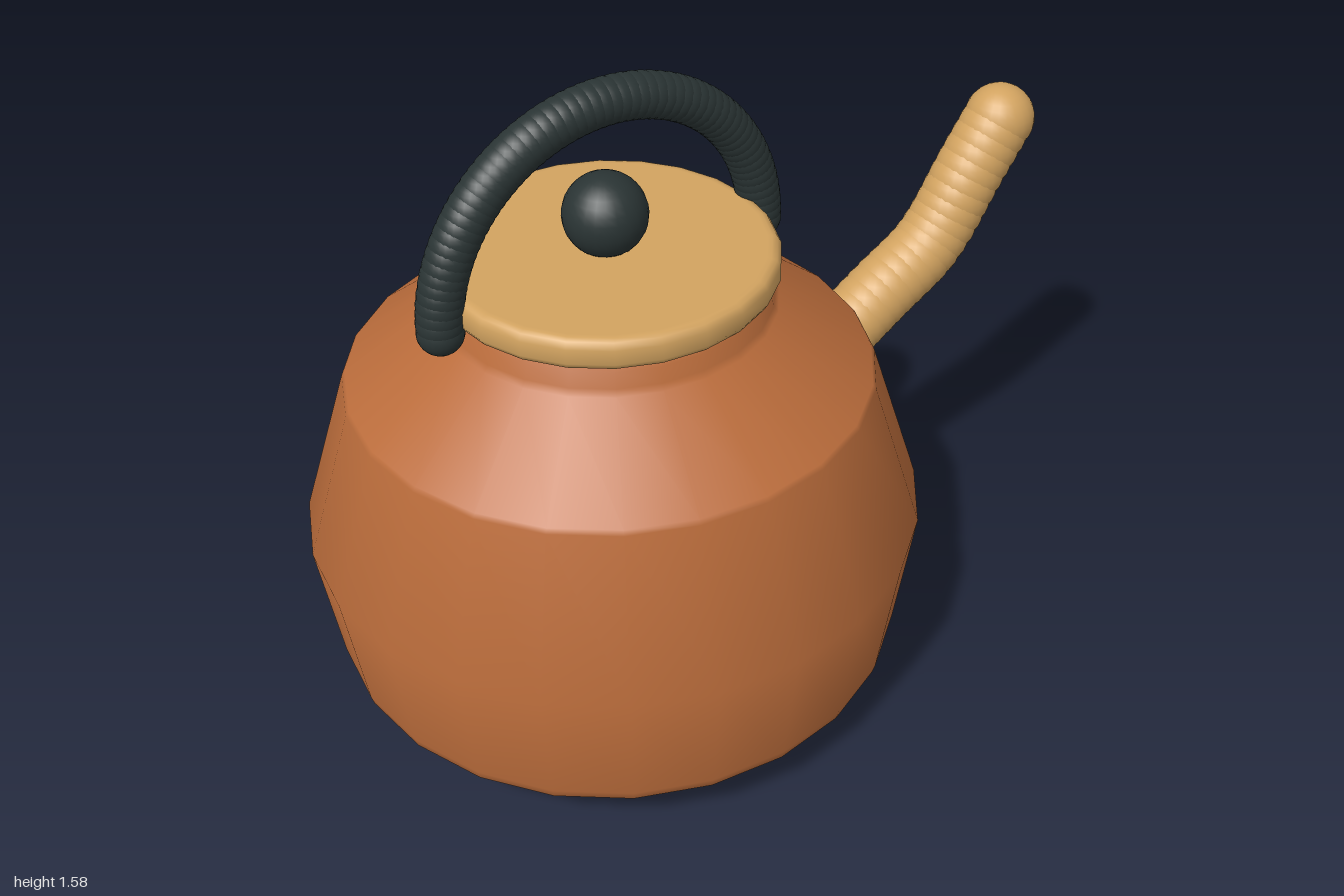
import * as THREE from 'three';

export function createModel() {
  const group = new THREE.Group();
  group.name = 'kettle';
  const material = (name, color) => {
    const m = new THREE.MeshStandardMaterial({ color });
    m.name = name;
    return m;
  };
  const copper = material('copper', 0xba6c3b);
  const wood = material('lightWood', 0xd2a360);
  const dark = material('darkGrip', 0x2a3434);
  const cx = -0.265; // axis of the pot

  const add = (name, geometry, mat, x = 0, y = 0) => {
    const mesh = new THREE.Mesh(geometry, mat);
    mesh.name = name;
    mesh.position.set(x, y, 0);
    group.add(mesh);
    return mesh;
  };
  const lathe = (profile) =>
    new THREE.LatheGeometry(profile.map(([r, y]) => new THREE.Vector2(r, y)), 24);

  // Chain of closely overlapping balls along a curve
  const beads = (name, curve, count, radius, mat) => {
    const chain = new THREE.Group();
    chain.name = name;
    const ball = new THREE.SphereGeometry(radius, 24, 16);
    for (const p of curve.getSpacedPoints(count - 1)) {
      const mesh = new THREE.Mesh(ball, mat);
      mesh.name = name + 'Segment';
      mesh.position.set(p.x, p.y, 0);
      chain.add(mesh);
    }
    group.add(chain);
  };

  // Pot body with softened corners at the base and a short neck
  add('body', lathe([
    [0, 0], [0.48, 0], [0.505, 0.003], [0.535, 0.018],
    [0.672, 0.137], [0.686, 0.152], [0.692, 0.175],
    [0.735, 0.49], [0.616, 0.862], [0.608, 0.872],
    [0.388, 1.045], [0.378, 1.06], [0.367, 1.095], [0.355, 1.108], [0.33, 1.113], [0, 1.113],
  ]), copper, cx);

  // Flat lid with a rounded rim
  add('lid', lathe([
    [0, 1.11], [0.365, 1.11], [0.382, 1.115], [0.391, 1.13],
    [0.391, 1.165], [0.382, 1.18], [0.37, 1.184], [0.36, 1.185], [0, 1.185],
  ]), wood, cx);

  // Lid knob
  add('knob', new THREE.SphereGeometry(0.097, 24, 16), dark, cx, 1.26);

  // Semicircular carrying handle
  beads('handle', new THREE.EllipseCurve(cx, 1.112, 0.42, 0.42, 0, Math.PI), 60, 0.053, dark);

  // Bent spout on the left side
  const spoutPath = new THREE.CatmullRomCurve3([
    [0.41, 0.665], [0.55, 0.752], [0.68, 0.828], [0.735, 0.885], [0.82, 1.015], [0.91, 1.14],
  ].map(([x, y]) => new THREE.Vector3(x, y, 0)));
  beads('spout', spoutPath, 20, 0.089, wood);

  return group;
}
